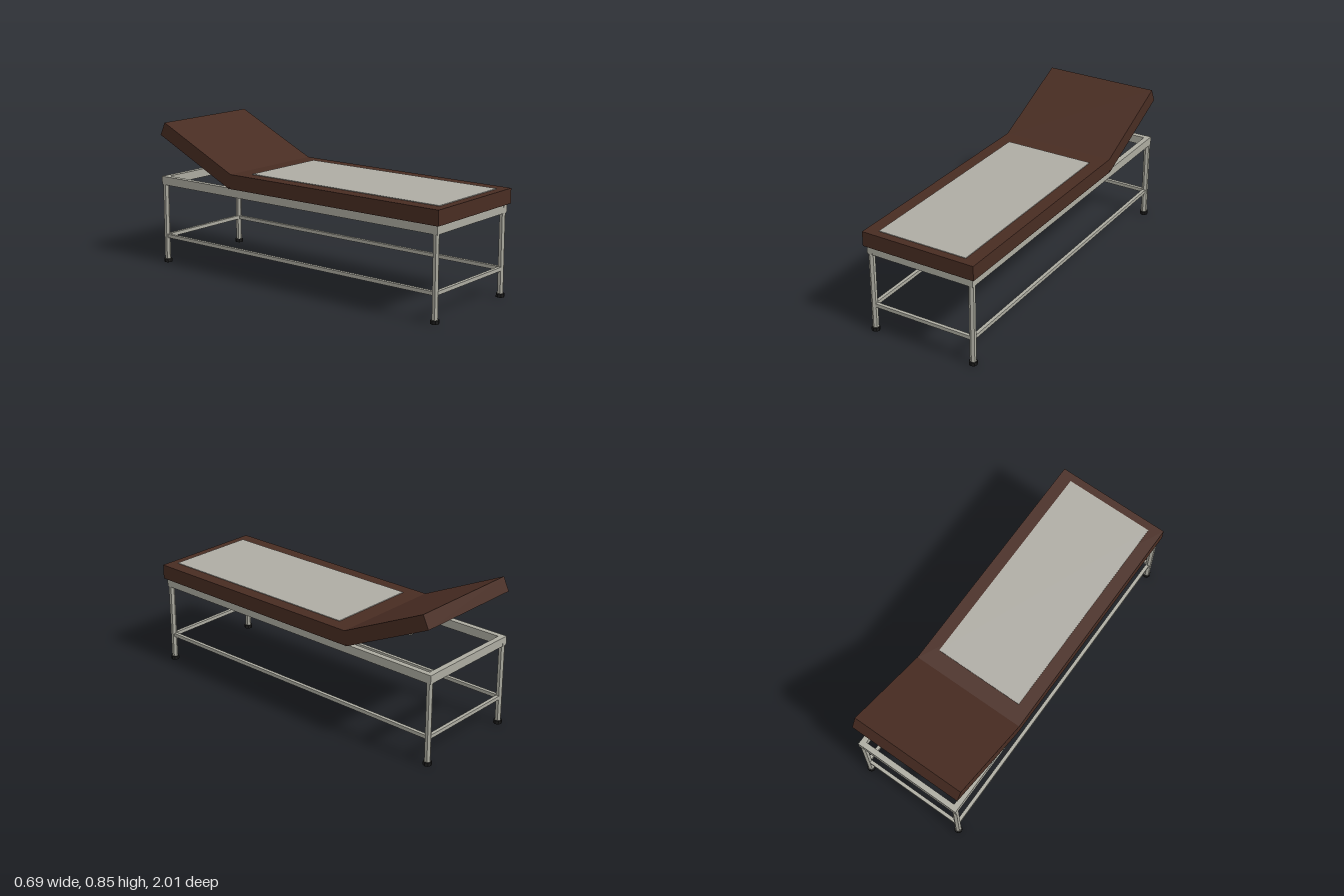
import * as THREE from 'three';

export function createModel() {
  const group = new THREE.Group();
  const material = (name, color, flatShading = true) => {
    const m = new THREE.MeshStandardMaterial({ color });
    m.name = name;
    m.flatShading = flatShading;
    return m;
  };
  const metal = material('paintedMetal', 0xacaba0);
  const leather = material('brownUpholstery', 0x482c22);
  const cloth = material('sheetCloth', 0xaeaca4);
  const rubber = material('blackRubber', 0x1a1a1a);

  const add = (name, geometry, mat, x, y, z) => {
    const mesh = new THREE.Mesh(geometry, mat);
    mesh.name = name;
    mesh.position.set(x, y, z);
    group.add(mesh);
    return mesh;
  };
  const box = (name, mat, w, h, d, x, y, z) =>
    add(name, new THREE.BoxGeometry(w, h, d), mat, x, y, z);

  const legX = 0.314, frontZ = 0.968, backZ = -0.982;
  const midZ = (frontZ + backZ) / 2, span = frontZ - backZ;

  // Side rails, side stretchers, and the legs with their feet
  for (const s of [-1, 1]) {
    box('sideRail', metal, 0.032, 0.05, span + 0.034, s * legX, 0.5, midZ);
    box('sideStretcher', metal, 0.02, 0.021, span - 0.028, s * legX, 0.162, midZ);
    for (const z of [frontZ, backZ]) {
      add('leg', new THREE.CylinderGeometry(0.018, 0.018, 0.46, 6), metal, s * legX, 0.247, z);
      add('foot', new THREE.CylinderGeometry(0.024, 0.024, 0.021, 8), rubber, s * legX, 0.0105, z);
    }
  }

  // End rails and end stretchers
  for (const z of [frontZ, backZ]) {
    box('endRail', metal, 2 * legX - 0.03, 0.05, 0.032, 0, 0.5, z);
    box('endStretcher', metal, 2 * legX - 0.028, 0.021, 0.02, 0, 0.162, z);
  }

  // Flat mattress with a cloth sheet on top
  box('mattress', leather, 0.69, 0.085, 1.438, 0, 0.5675, 0.281);
  box('sheet', cloth, 0.54, 0.006, 1.28, 0, 0.611, 0.313);

  // Raised headrest
  const head = box('headrest', leather, 0.69, 0.084, 0.598, 0, 0.689, -0.697);
  head.rotation.x = THREE.MathUtils.degToRad(25);

  // Single prop holding the headrest up
  const foot = new THREE.Vector3(0, 0.527, -0.597);
  const top = new THREE.Vector3(0, 0.695, -0.8);
  const dir = top.clone().sub(foot);
  const prop = add('headrestProp', new THREE.CylinderGeometry(0.01, 0.01, dir.length(), 6), metal, 0, 0, 0);
  prop.position.copy(foot).addScaledVector(dir, 0.5);
  prop.quaternion.setFromUnitVectors(new THREE.Vector3(0, 1, 0), dir.normalize());

  return group;
}
